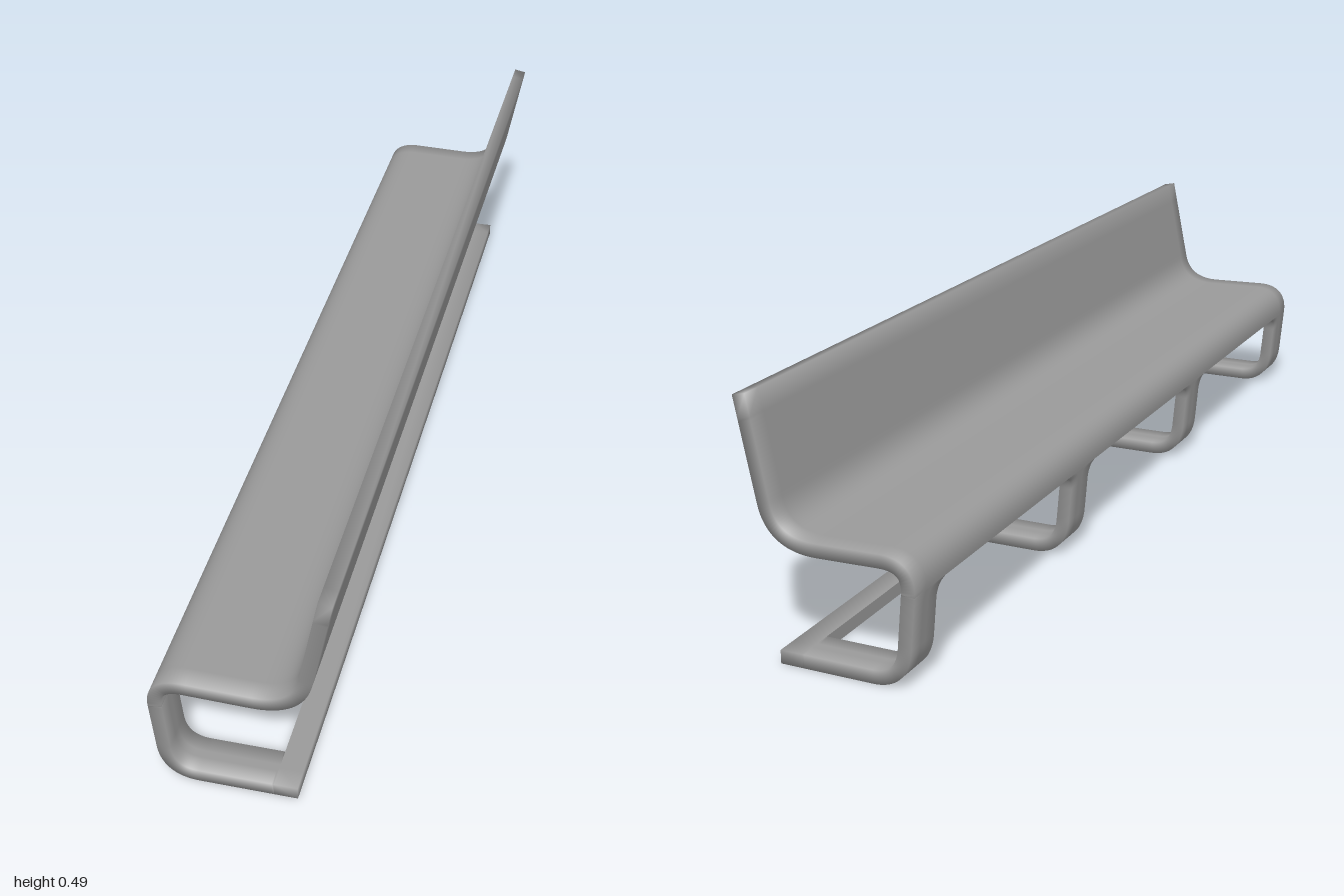
import * as THREE from 'three';

const T = 0.026, H = T / 2;        // sheet thickness
const EDGE = 0.04, FILLET = 0.03;  // softly shaded border, rounded window corners
const LEG = 0.08, RAIL = 0.045;

const v = (x, y) => new THREE.Vector2(x, y);

// Chain of straight runs (2 points) and bends (3 points)
function makePath(...segments) {
  const path = new THREE.CurvePath();
  for (const s of segments) {
    path.add(s.length === 2 ? new THREE.LineCurve(...s) : new THREE.QuadraticBezierCurve(...s));
  }
  return path;
}

// Closed cross-section of the sheet as [offset along normal, z]
function section(z0, z1) {
  const e = Math.min(EDGE, (z1 - z0) * 0.4);
  const zs = [z0, z0 + e, z1 - e, z1];
  return [...zs.map((z) => [H, z]), ...zs.reverse().map((z) => [-H, z])];
}

// Sweep the section along a path; range(d) gives [z0, z1] at distance d from the path's end.
// A capped sweep gets a crisp start face and an end face shaded smoothly into the sheet.
function sweep(path, steps, range, capped) {
  const pos = [], index = [], length = path.getLength(), n = 8;
  let rings = 0;
  for (let i = 0; i <= steps; i++) {
    const u = i / steps, d = length * (1 - u);
    // leave one wide band before a capped end, so its shading fades over the border
    if (capped && i > 0 && i < steps && d < EDGE) continue;
    const p = path.getPointAt(u), t = path.getTangentAt(u);
    for (const [o, z] of section(...range(d))) pos.push(p.x - t.y * o, p.y + t.x * o, z);
    rings++;
  }
  for (let i = 0; i < rings - 1; i++) {
    for (let j = 0; j < n; j++) {
      const a = i * n + j, b = i * n + (j + 1) % n;
      index.push(a, b, b + n, a, b + n, a + n);
    }
  }
  if (capped) {
    const start = rings * n, end = (rings - 1) * n;
    pos.push(...pos.slice(0, n * 3));
    for (let j = 0; j < 3; j++) {
      const [a, b, c, d] = [j, j + 1, 6 - j, 7 - j];
      index.push(end + a, end + b, end + c, end + a, end + c, end + d);
      index.push(start + a, start + c, start + b, start + a, start + d, start + c);
    }
  }
  const g = new THREE.BufferGeometry();
  g.setAttribute('position', new THREE.Float32BufferAttribute(pos, 3));
  g.setIndex(index);
  g.computeVertexNormals();
  return g;
}

export function createModel() {
  const group = new THREE.Group();
  const material = new THREE.MeshStandardMaterial({ color: 0x9a9a9a });
  const add = (name, geometry) => {
    const mesh = new THREE.Mesh(geometry, material);
    mesh.name = name;
    group.add(mesh);
  };
  const fullWidth = () => [-1, 1];

  // Seat and backrest: front lip, seat, bend, leaning back
  const lip = v(-0.1593, 0.176);
  const seatPath = makePath(
    [lip, v(-0.1645, 0.2315), v(-0.105, 0.2305)],
    [v(-0.105, 0.2305), v(0.02, 0.2275)],
    [v(0.02, 0.2275), v(0.106, 0.2265), v(0.12, 0.3)],
    [v(0.12, 0.3), v(0.158, 0.4895)],
  );
  add('seatAndBackrest', sweep(seatPath, 90, fullWidth, true));

  // Legs: foot running forward, bend, then up to the lip, flaring into it
  const inner = 0.1 - RAIL;
  const legPath = makePath(
    [v(inner, H), v(-0.085, H)],
    [v(-0.085, H), v(-0.144, H), v(-0.15, 0.075)],
    [v(-0.15, 0.075), lip],
  );
  const flare = (d) => (d >= FILLET ? 0 : FILLET - Math.sqrt(FILLET ** 2 - (FILLET - d) ** 2));
  for (let i = 0; i < 4; i++) {
    const z0 = -1 + i * (2 - LEG) / 3, z1 = z0 + LEG;
    add('leg' + (i + 1), sweep(legPath, 100, (d) => [
      z0 - (i > 0 ? flare(d) : 0),
      z1 + (i < 3 ? flare(d) : 0),
    ], false));
  }

  // Floor rail joining the feet at the rear
  add('floorRail', sweep(makePath([v(inner, H), v(0.1, H)]), 1, fullWidth, true));

  return group;
}
